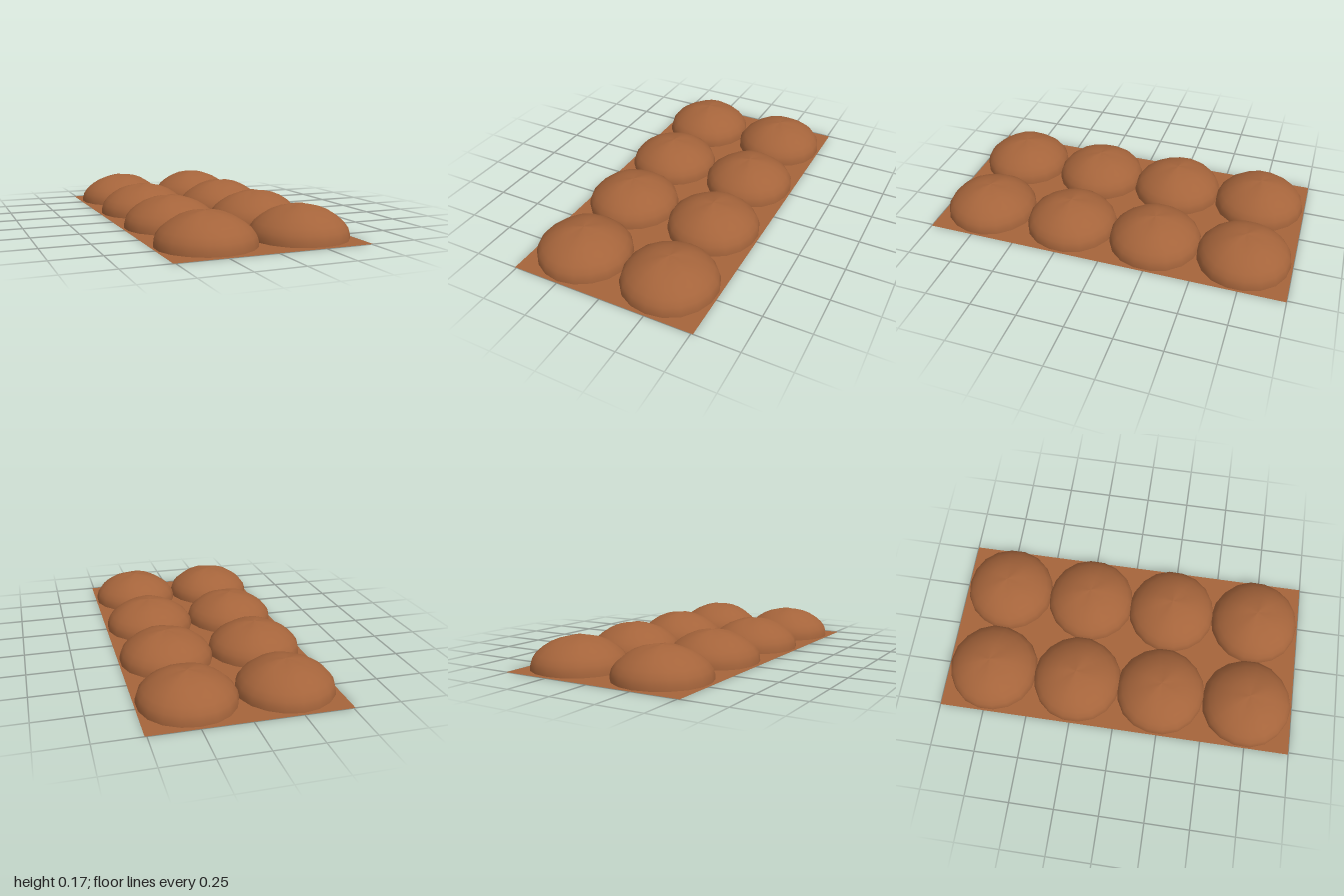
import * as THREE from 'three';

const SEGMENTS = 18;

// Rounded mound: a flattened dome with a slightly uneven, hand-formed surface
function moundGeometry(seed) {
  const profile = [
    [0.253, 0.006], [0.252, 0.03], [0.244, 0.058], [0.222, 0.088], [0.188, 0.116],
    [0.146, 0.142], [0.1, 0.16], [0.05, 0.171], [0, 0.175],
  ].map(([r, y]) => new THREE.Vector2(r, y));
  const geometry = new THREE.LatheGeometry(profile, SEGMENTS);
  const p = geometry.attributes.position;
  for (let i = 0; i < p.count; i++) {
    const x = p.getX(i), y = p.getY(i), z = p.getZ(i);
    const a = Math.atan2(z, x), r = Math.hypot(x, z) / 0.253;
    const wobble = 1 + 0.012 * r * Math.sin(3 * a + seed * 1.7) * Math.cos(2 * a + seed);
    const lift = 0.003 * r * (1 - r) * 4 * Math.sin(4 * a + seed * 2.3);
    p.setXYZ(i, x * wobble, y + lift, z * wobble);
  }
  geometry.computeVertexNormals();
  // Share normals across the seam of the lathe
  const n = geometry.attributes.normal, rows = profile.length;
  for (let j = 0; j < rows; j++) {
    const k = SEGMENTS * rows + j;
    const v = new THREE.Vector3(n.getX(j) + n.getX(k), n.getY(j) + n.getY(k), n.getZ(j) + n.getZ(k)).normalize();
    n.setXYZ(j, v.x, v.y, v.z);
    n.setXYZ(k, v.x, v.y, v.z);
  }
  return geometry;
}

export function createModel() {
  const group = new THREE.Group();
  group.name = 'moundTray';
  const brown = new THREE.MeshStandardMaterial({ color: 0xa5643b, side: THREE.DoubleSide });
  brown.name = 'warm brown';

  // Thin flat sheet under the mounds
  const sheet = new THREE.Mesh(new THREE.PlaneGeometry(1.02, 2).rotateX(-Math.PI / 2), brown);
  sheet.name = 'baseSheet';
  sheet.position.y = 0.002;
  group.add(sheet);

  // Two columns of four mounds
  let seed = 0;
  for (const z of [-0.737, -0.243, 0.243, 0.737]) {
    for (const x of [-0.251, 0.251]) {
      const mound = new THREE.Mesh(moundGeometry(++seed), brown);
      mound.name = 'mound' + seed;
      mound.position.set(x, 0, z);
      group.add(mound);
    }
  }
  return group;
}
